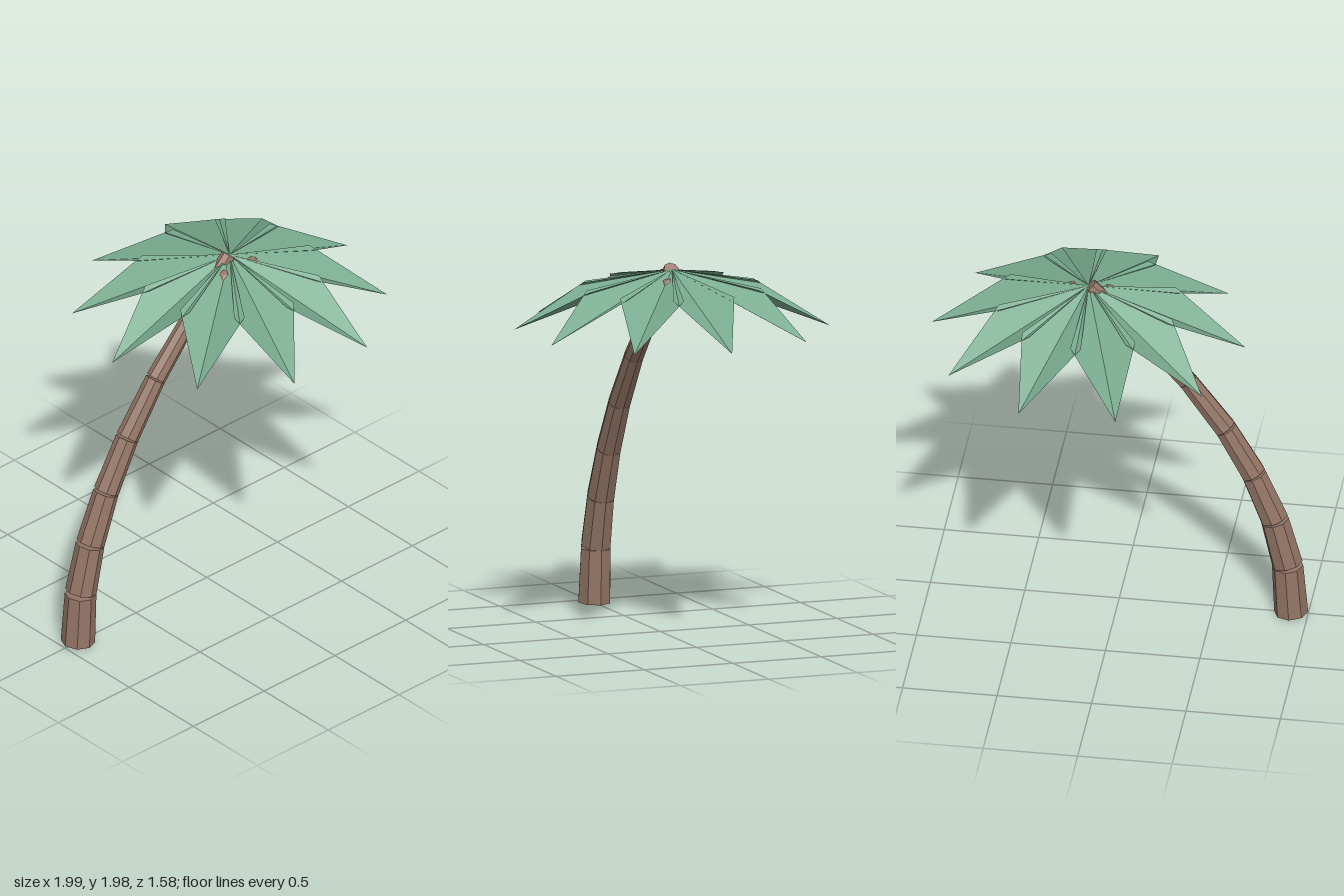
import * as THREE from 'three';

export function createModel() {
  const model = new THREE.Group();
  model.name = 'palmTree';
  const bark = new THREE.MeshStandardMaterial({ name: 'barkBrown', color: 0x937565, flatShading: true });
  const leaf = new THREE.MeshStandardMaterial({ name: 'leafGreen', color: 0x79ab8f, flatShading: true, side: THREE.DoubleSide });

  // Trunk: tapered segments hinged on the inner side of the bend.
  // Each row is the inner edge x, y and the radius at a joint.
  const joints = [
    [-0.82, 0.005, 0.09], [-0.808, 0.295, 0.083], [-0.75, 0.56, 0.076], [-0.65, 0.83, 0.068],
    [-0.51, 1.10, 0.061], [-0.32, 1.38, 0.053], [-0.08, 1.66, 0.046], [0.185, 1.93, 0.042],
  ];
  const trunk = new THREE.Group();
  trunk.name = 'trunk';
  for (let i = 0; i < joints.length - 1; i++) {
    const [x0, y0, r0] = joints[i];
    const [x1, y1, r1] = joints[i + 1];
    const edge = Math.hypot(x1 - x0, y1 - y0);
    const lean = Math.atan2(x1 - x0, y1 - y0) + Math.asin((r0 - r1) / edge);
    const height = Math.sqrt(edge * edge - (r0 - r1) ** 2);
    const segment = new THREE.Mesh(new THREE.CylinderGeometry(r1, r0, height, 8), bark);
    segment.name = 'trunkSegment';
    const rMid = (r0 + r1) / 2;
    segment.position.set(
      (x0 + x1) / 2 - rMid * Math.cos(lean),
      (y0 + y1) / 2 + rMid * Math.sin(lean), 0);
    segment.rotation.z = -lean;
    trunk.add(segment);
  }
  model.add(trunk);

  // Fronds: two triangles folded along a drooping midrib, with raised edges.
  const frondGeometry = new THREE.BufferGeometry();
  frondGeometry.setAttribute('position', new THREE.Float32BufferAttribute([
    0, 0, 0, 0.83, -0.31, 0, 0.44, -0.085, -0.172,
    0, 0, 0, 0.44, -0.085, 0.172, 0.83, -0.31, 0,
  ], 3));
  frondGeometry.computeVertexNormals();
  const crown = new THREE.Group();
  crown.name = 'crown';
  crown.position.set(0.162, 1.96, 0);
  for (let i = 0; i < 10; i++) {
    const frond = new THREE.Mesh(frondGeometry, leaf);
    frond.name = 'frond';
    frond.rotation.y = (i * Math.PI) / 5;
    crown.add(frond);
  }
  model.add(crown);

  // Coconuts tucked under the crown
  const nutGeometry = new THREE.SphereGeometry(0.06, 8, 6);
  for (const x of [0.068, 0.162, 0.256]) {
    const nut = new THREE.Mesh(nutGeometry, bark);
    nut.name = 'coconut';
    nut.position.set(x, 1.87, 0.057);
    model.add(nut);
  }
  return model;
}
